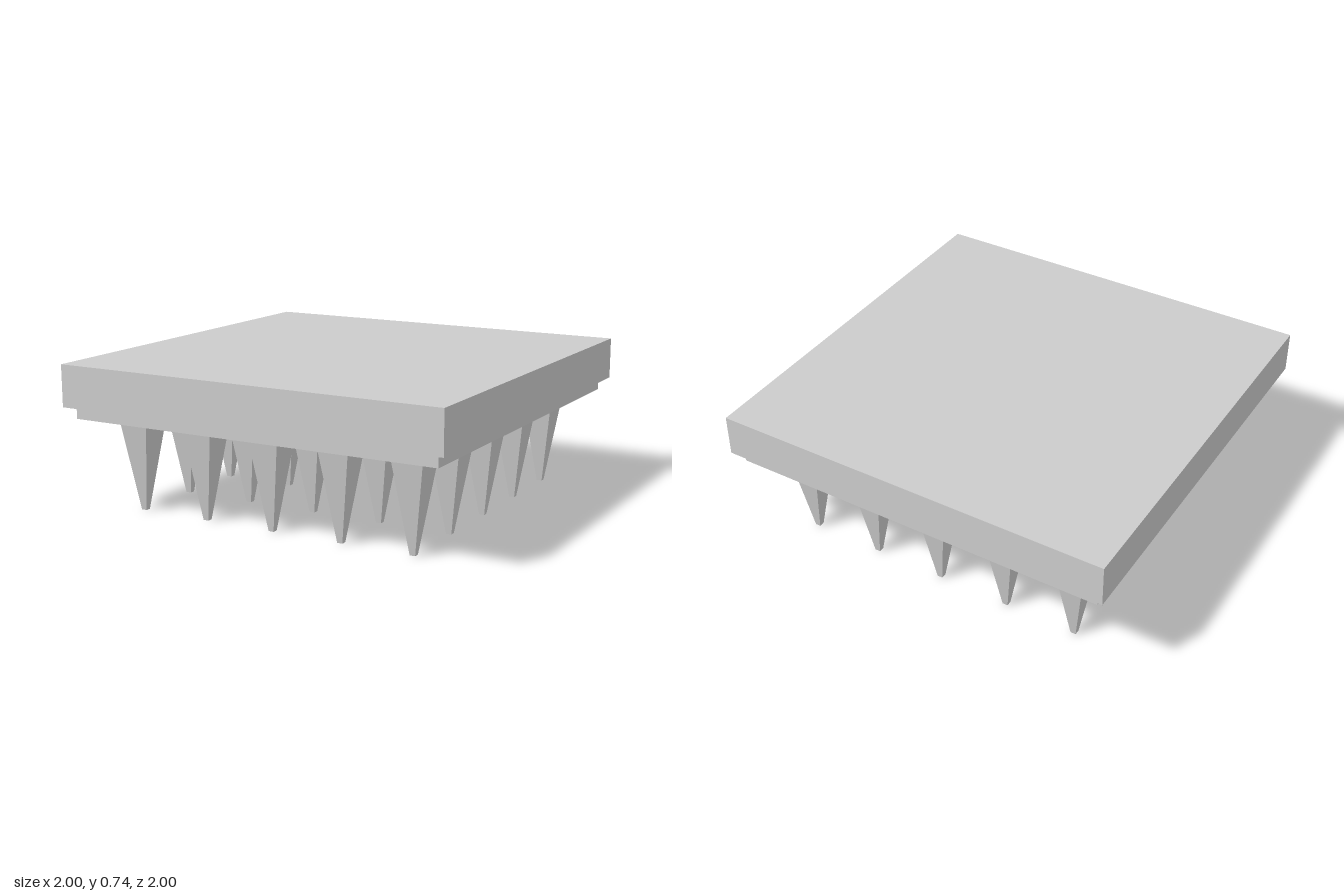
import * as THREE from 'three';

export function createModel() {
  const model = new THREE.Group();
  model.name = 'spikedPanel';
  const material = new THREE.MeshStandardMaterial({ color: 0xcccccc, flatShading: true });

  function addPlate(name, size, bottom, top) {
    const plate = new THREE.Mesh(new THREE.BoxGeometry(size, top - bottom, size), material);
    plate.name = name;
    plate.position.y = (bottom + top) / 2;
    model.add(plate);
  }

  // Thick slab with a slightly smaller plate beneath it
  const plateBottom = 0.47;
  addPlate('slab', 2, 0.53, 0.737);
  addPlate('mountingPlate', 1.91, plateBottom, 0.53);

  // Square, blunt-tipped spikes pointing down in a 5 x 5 grid
  const spikes = new THREE.Group();
  spikes.name = 'spikes';
  const spikeGeometry = new THREE.CylinderGeometry(
    0.082 * Math.SQRT2, 0.0135 * Math.SQRT2, plateBottom, 4
  );
  spikeGeometry.rotateY(Math.PI / 4);
  const spacing = 0.367;
  for (let i = -2; i <= 2; i++) {
    for (let j = -2; j <= 2; j++) {
      const spike = new THREE.Mesh(spikeGeometry, material);
      spike.name = 'spike';
      spike.position.set(i * spacing, plateBottom / 2, j * spacing);
      spikes.add(spike);
    }
  }
  model.add(spikes);
  return model;
}
